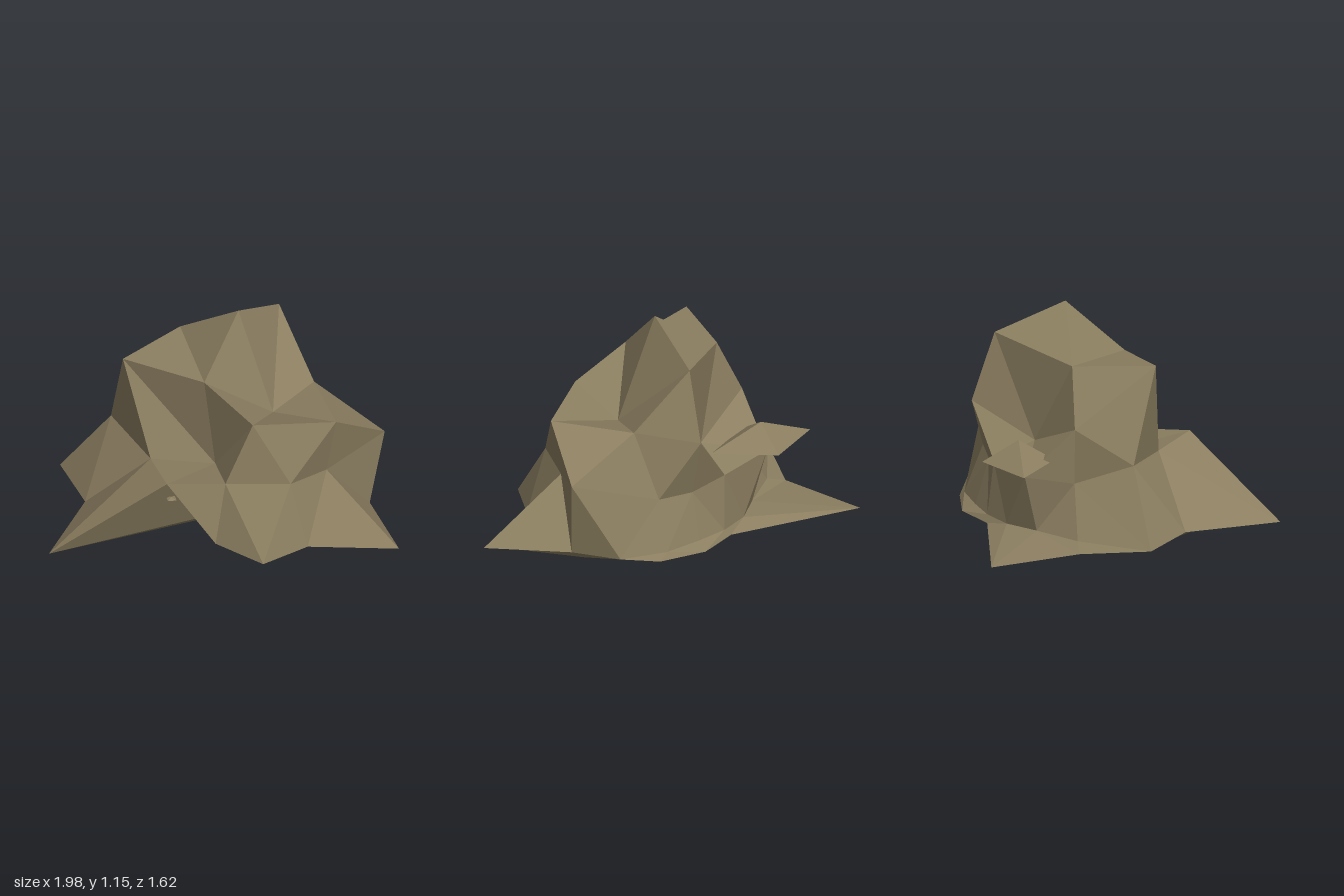
import * as THREE from 'three';

const CX = -0.03, CZ = -0.26;

// Rings from the peak down: [horizontal radius, height], starting at +x and turning towards +z.
// Ring n of each half has 4n points.
const peak = [[0, 1.15]];
const crown = [[0.22, 0.60], [0.31, 0.87], [0.37, 0.91], [0.37, 0.99]];
const shoulder = [
  [0.62, 0.69], [0.43, 0.715], [0.21, 0.31], [0.61, 0.92],
  [0.52, 0.61], [0.25, 0.45], [0.49, 0.62], [0.40, 0.66]];
const waist = [
  [0.56, 0.37], [0.57, 0.40], [0.46, 0.37], [0.65, 0.42], [0.52, 0.39], [0.67, 0.43],
  [0.50, 0.31], [0.585, 0.36], [0.44, 0.35], [0.40, 0.30], [0.46, 0.31], [0.77, 0.47]];
const at = (y, radii) => radii.map((r) => [r, y]);
const rim = at(0.05, [1.02, 0.67, 0.74, 0.55, 0.36, 1.17, 0.81, 0.95,
  0.67, 0.51, 0.48, 0.46, 0.47, 0.55, 0.66, 0.70]);
const under = at(0.015, [0.88, 0.58, 0.50, 0.30, 0.80, 0.80, 0.78, 1.07, 0.48, 0.54, 0.59, 0.65]);
const underInner = at(0.008, [0.5, 0.4, 0.2, 0.45, 0.5, 0.4, 0.35, 0.4]);
const underCore = at(0.004, [0.25, 0.1, 0.25, 0.2]);

// Turn ring n into points; the third ring's inner points lean towards the axes
function ringPoints(ring, n) {
  return ring.map(([r, y], k) => {
    if (n === 0) return [CX, y, CZ];
    const q = Math.floor(k / n), s = k % n;
    const local = n === 3 ? Math.atan2(s, n - s) : (s / n) * Math.PI / 2;
    const a = q * Math.PI / 2 + local;
    return [CX + r * Math.cos(a), y, CZ + r * Math.sin(a)];
  });
}

// One half of a subdivided octahedron, from its pole to its rim
function addHalf(rings, flip, out) {
  const pts = rings.map(ringPoints);
  const tri = (a, b, c) => out.push(...a, ...(flip ? c : b), ...(flip ? b : c));
  for (let n = 1; n < pts.length; n++) {
    const inner = (q, s) => pts[n - 1][n === 1 ? 0 : (q * (n - 1) + s) % (4 * (n - 1))];
    const outer = (q, s) => pts[n][(q * n + s) % (4 * n)];
    for (let q = 0; q < 4; q++) {
      for (let s = 0; s < n; s++) {
        tri(inner(q, s), outer(q, s + 1), outer(q, s));
        if (s < n - 1) tri(inner(q, s), inner(q, s + 1), outer(q, s + 1));
      }
    }
  }
}

export function createModel() {
  const group = new THREE.Group();
  group.name = 'rock';
  const stone = new THREE.MeshStandardMaterial({ color: 0x8b7e60, flatShading: true });
  stone.name = 'stone';

  // Main boulder: craggy top and flattened underside
  const positions = [];
  addHalf([peak, crown, shoulder, waist, rim], false, positions);
  addHalf([[[0, 0]], underCore, underInner, under, rim], true, positions);
  const geo = new THREE.BufferGeometry();
  geo.setAttribute('position', new THREE.Float32BufferAttribute(positions, 3));
  geo.computeVertexNormals();
  const boulder = new THREE.Mesh(geo, stone);
  boulder.name = 'boulder';
  group.add(boulder);

  // Flat shards stuck in the boulder
  const addShard = (name, pos, size, upper) => {
    const g = new THREE.OctahedronGeometry(1, 0);
    const p = g.attributes.position;
    for (let i = 0; i < p.count; i++) if (p.getY(i) > 0.5) p.setY(i, upper);
    g.scale(...size);
    g.computeVertexNormals();
    const m = new THREE.Mesh(g, stone);
    m.name = name;
    m.position.set(...pos);
    group.add(m);
  };
  addShard('backShard', [-0.5, 0.435, -0.55], [0.295, 0.03, 0.19], 3.8);
  addShard('frontChip', [-0.04, 0.297, 0.335], [0.035, 0.01, 0.03], 1);

  return group;
}
